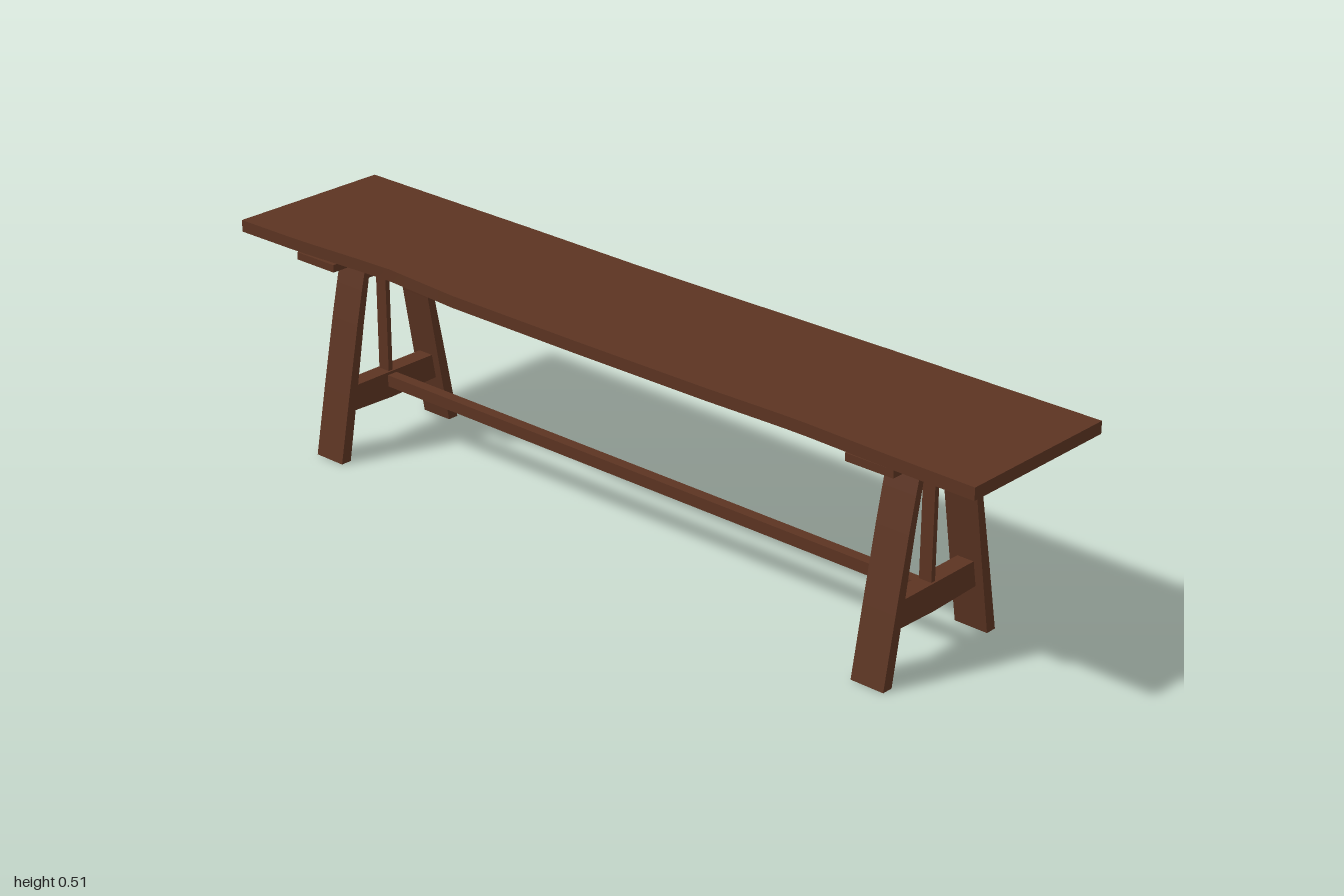
import * as THREE from 'three';

const wood = new THREE.MeshStandardMaterial({ color: 0x5c3422 });
wood.name = 'dark brown wood';

function mesh(name, geometry) {
  const m = new THREE.Mesh(geometry, wood);
  m.name = name;
  return m;
}

function box(name, w, h, d, x, y, z) {
  const m = mesh(name, new THREE.BoxGeometry(w, h, d));
  m.position.set(x, y, z);
  return m;
}

// Extrudes a [z, y] outline across the bench, centred on x = 0
function sidePlate(name, outline, width) {
  const shape = new THREE.Shape(outline.map(([z, y]) => new THREE.Vector2(-z, y)));
  const g = new THREE.ExtrudeGeometry(shape, { depth: width, bevelEnabled: false });
  g.translate(0, 0, -width / 2);
  g.rotateY(Math.PI / 2);
  return mesh(name, g);
}

// Linear interpolation through [x, value] points
function along(points, x) {
  for (let i = 1; i < points.length; i++) {
    const [x0, v0] = points[i - 1], [x1, v1] = points[i];
    if (x <= x1) return THREE.MathUtils.lerp(v0, v1, (x - x0) / (x1 - x0));
  }
  return points[points.length - 1][1];
}

// Hand-cut plank with uneven long edges
function makeSeat() {
  const front = [[-1, 0.198], [-0.82, 0.195], [-0.65, 0.184], [-0.55, 0.179], [-0.35, 0.192],
    [0.35, 0.192], [0.58, 0.187], [0.8, 0.194], [1, 0.197]];
  const back = [[-1, 0.199], [-0.5, 0.198], [-0.2, 0.195], [0.2, 0.197], [1, 0.199]];
  const height = [[-1, 0.499], [-0.5, 0.497], [0, 0.495], [0.5, 0.496], [1, 0.495]];
  const g = new THREE.BoxGeometry(2, 0.027, 2, 40, 1, 2);
  const p = g.attributes.position;
  for (let i = 0; i < p.count; i++) {
    const x = p.getX(i), z = p.getZ(i);
    p.setY(i, p.getY(i) + along(height, x));
    p.setZ(i, z * along(z > 0 ? front : back, x));
  }
  g.computeVertexNormals();
  return mesh('seat', g);
}

// A-shaped trestle
function makeTrestle(name, x) {
  const trestle = new THREE.Group();
  trestle.name = name;
  const leg = [[0.178, 0], [0.148, 0.155], [0.116, 0.314], [0.099, 0.39], [0.08, 0.468],
    [0.067, 0.468], [0.079, 0.405], [0.097, 0.314], [0.123, 0.163], [0.152, 0]];
  for (const side of [1, -1]) {
    const outline = leg.map(([z, y]) => [z * side, y]);
    trestle.add(sidePlate(side > 0 ? 'frontLeg' : 'backLeg', outline, 0.08));
  }
  trestle.add(
    box('cleat', 0.115, 0.017, 0.388, 0, 0.4735, 0),
    sidePlate('upperBlock', [[-0.08, 0.405], [0.08, 0.405], [0.07, 0.466], [-0.07, 0.466]], 0.045),
    sidePlate('crossbar', [[-0.136, 0.105], [0, 0.101], [0.136, 0.105], [0.125, 0.163], [-0.125, 0.163]], 0.04),
    box('upright', 0.03, 0.25, 0.012, 0, 0.284, 0),
  );
  trestle.position.x = x;
  return trestle;
}

export function createModel() {
  const bench = new THREE.Group();
  bench.name = 'bench';
  bench.add(
    makeSeat(),
    makeTrestle('rightTrestle', -0.768),
    makeTrestle('leftTrestle', 0.755),
    // Long rails joining the trestles
    box('upperRail', 1.5, 0.072, 0.026, -0.007, 0.449, 0),
    box('stretcher', 1.5, 0.027, 0.026, -0.007, 0.143, 0),
  );
  return bench;
}
